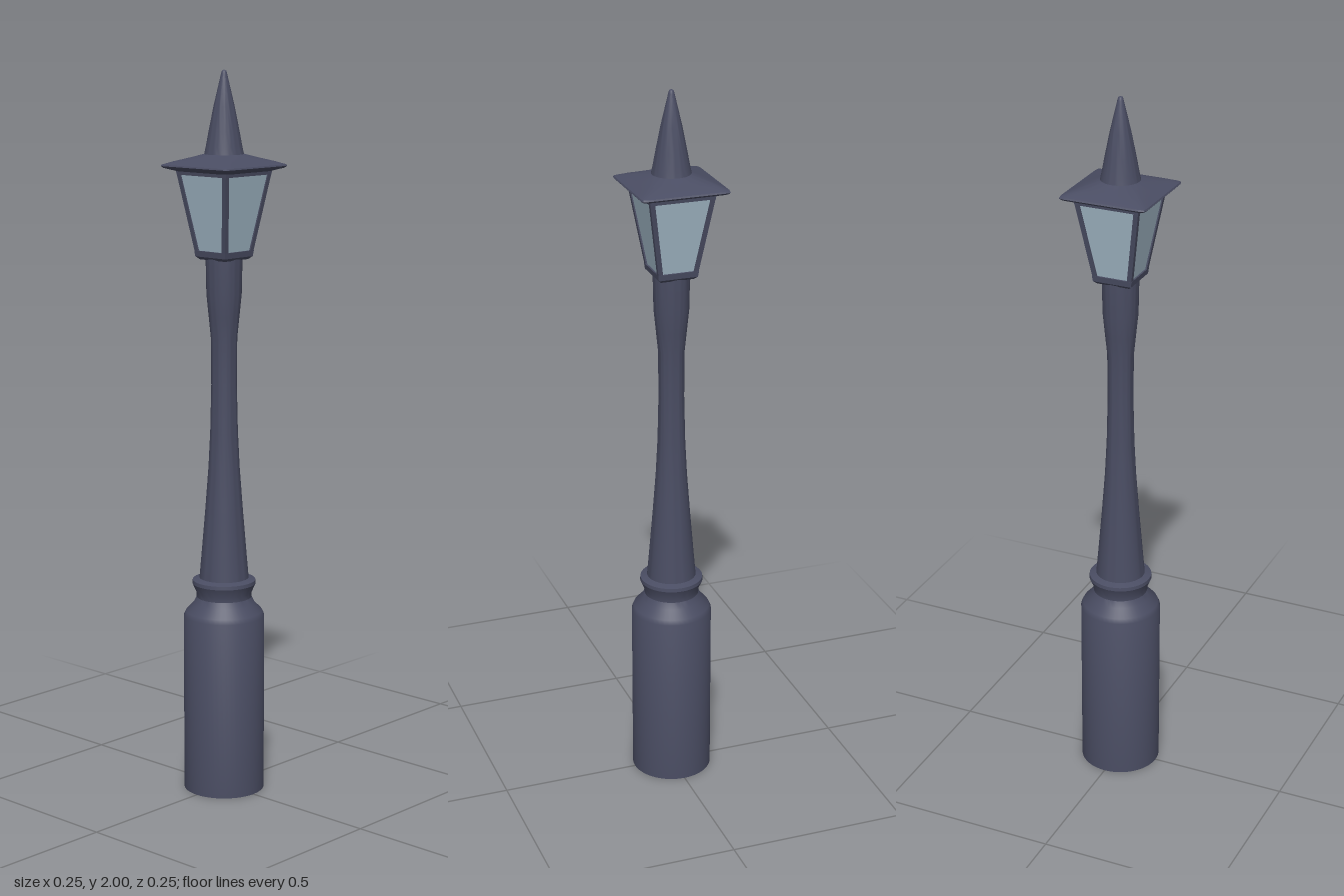
import * as THREE from 'three';
import { toCreasedNormals } from 'three/addons/utils/BufferGeometryUtils.js';

const metal = new THREE.MeshStandardMaterial({ color: 0x4a4d63 });
metal.name = 'dark metal';
const glass = new THREE.MeshStandardMaterial({ color: 0xa3b9c8, side: THREE.DoubleSide });
glass.name = 'pale glass';

function part(name, geometry, material = metal) {
  const mesh = new THREE.Mesh(geometry, material);
  mesh.name = name;
  return mesh;
}

// Turned part from [radius, height] pairs, keeping sharp edges
function turned(profile, crease = 0.5) {
  const points = profile.map(([r, y]) => new THREE.Vector2(r, y));
  return toCreasedNormals(new THREE.LatheGeometry(points, 48), crease);
}

// Square frustum between two heights, with half widths
function frustum(y0, half0, y1, half1, open = false) {
  const s = Math.SQRT2;
  const g = new THREE.CylinderGeometry(half1 * s, half0 * s, y1 - y0, 4, 1, open);
  g.rotateY(Math.PI / 4).translate(0, (y0 + y1) / 2, 0);
  return toCreasedNormals(g, 0.3);
}

// Loft of rings [height, half width, power]; power 2 is a circle, high powers a rounded square
function loft(rings, sides = 96) {
  const position = [], index = [];
  rings.forEach(([y, half, p], j) => {
    for (let i = 0; i < sides; i++) {
      const a = (i / sides) * Math.PI * 2, c = Math.cos(a), s = Math.sin(a);
      const r = half / Math.pow(Math.abs(c) ** p + Math.abs(s) ** p, 1 / p);
      position.push(c * r, y, s * r);
      if (j === 0) continue;
      const k = (i + 1) % sides, lo = (j - 1) * sides, hi = j * sides;
      index.push(lo + i, hi + i, lo + k, lo + k, hi + i, hi + k);
    }
  });
  const g = new THREE.BufferGeometry();
  g.setAttribute('position', new THREE.Float32BufferAttribute(position, 3));
  g.setIndex(index);
  return toCreasedNormals(g, 0.6);
}

export function createModel() {
  const model = new THREE.Group();
  model.name = 'streetLamp';

  // Base drum, collar and waisted column
  model.add(part('base', turned([
    [0, 0], [0.112, 0], [0.112, 0.5], [0.106, 0.513], [0.085, 0.535],
    [0.076, 0.553], [0.077, 0.567], [0.088, 0.592], [0.087, 0.602], [0.068, 0.608],
  ])));
  model.add(part('column', turned([
    [0.069, 0.6], [0.062, 0.68], [0.052, 0.8], [0.043, 0.92], [0.038, 1.02],
    [0.035, 1.15], [0.036, 1.28], [0.042, 1.34], [0.048, 1.4], [0.05, 1.5], [0, 1.5],
  ])));

  // Lantern: sill, top rail, glass and four leaning corner bars
  const lantern = new THREE.Group();
  lantern.name = 'lantern';
  lantern.add(part('sillUnderside', frustum(1.494, 0.046, 1.502, 0.055)));
  lantern.add(part('sill', frustum(1.502, 0.055, 1.518, 0.057)));
  lantern.add(part('topRail', frustum(1.722, 0.09, 1.738, 0.092)));
  lantern.add(part('panes', frustum(1.515, 0.0515, 1.725, 0.0865, true), glass));
  const low = 0.049, high = 0.084, y0 = 1.512, y1 = 1.728;
  for (const sx of [-1, 1]) {
    for (const sz of [-1, 1]) {
      const bar = new THREE.BoxGeometry(0.013, y1 - y0, 0.013);
      const pos = bar.attributes.position;
      for (let i = 0; i < pos.count; i++) {
        const top = pos.getY(i) > 0, offset = top ? high : low;
        pos.setXYZ(i, pos.getX(i) + sx * offset, top ? y1 : y0, pos.getZ(i) + sz * offset);
      }
      bar.computeVertexNormals();
      lantern.add(part('cornerBar', bar));
    }
  }
  model.add(lantern);

  // Square eaves blending into a round spire
  model.add(part('roof', loft([
    [1.73, 0.088, 28], [1.74, 0.118, 28], [1.745, 0.123, 28], [1.749, 0.121, 28],
    [1.758, 0.1, 14], [1.767, 0.076, 5], [1.777, 0.053, 2],
  ])));
  model.add(part('spire', turned([
    [0.054, 1.774], [0.049, 1.797], [0.041, 1.84], [0.028, 1.905],
    [0.0085, 1.988], [0.006, 1.997], [0, 2],
  ], 0.9)));
  return model;
}
